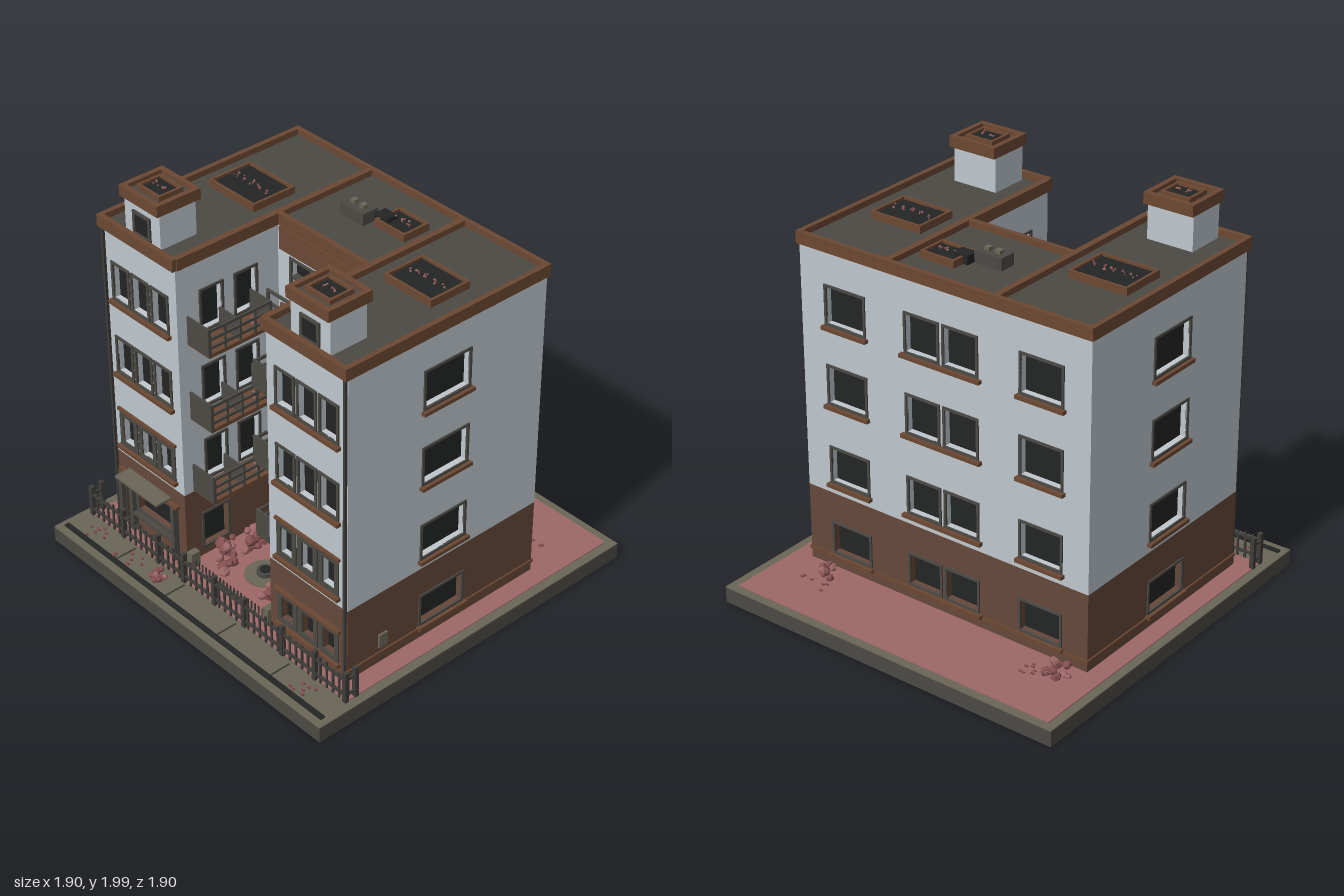
import * as THREE from 'three';

const mat = (name, color) => Object.assign(new THREE.MeshStandardMaterial({ color }), { name });
const M = {
  plaster: mat('pale plaster', 0xbec7ce), brown: mat('brown brick', 0x66483a),
  trim: mat('brown trim', 0x6b4832), grey: mat('dark grey', 0x4b4944),
  glass: mat('black glass', 0x232424), pink: mat('dusty pink ground', 0x9c6766),
  olive: mat('olive stone', 0x6b6656), iron: mat('iron', 0x3f3d39), leaf: mat('dark rose leaves', 0x84504f),
};

// Box given by its minimum and maximum on each axis
function box(g, name, m, x0, x1, y0, y1, z0, z1) {
  const mesh = new THREE.Mesh(new THREE.BoxGeometry(x1 - x0, y1 - y0, z1 - z0), m);
  mesh.position.set((x0 + x1) / 2, (y0 + y1) / 2, (z0 + z1) / 2);
  mesh.name = name;
  g.add(mesh);
  return mesh;
}
function group(parent, name) {
  const g = new THREE.Group();
  g.name = name;
  parent.add(g);
  return g;
}
let seed = 7;
const rnd = () => (seed = (seed * 16807) % 2147483647) / 2147483647;

// Rectangular ring of four bars in the wall plane
function ring(g, name, m, x0, x1, y0, y1, t, z0, z1) {
  box(g, name, m, x0, x0 + t, y0, y1, z0, z1);
  box(g, name, m, x1 - t, x1, y0, y1, z0, z1);
  box(g, name, m, x0 + t, x1 - t, y0, y0 + t, z0, z1);
  box(g, name, m, x0 + t, x1 - t, y1 - t, y1, z0, z1);
}
// Flat ring of four bars seen from above
function rim(g, name, m, x0, x1, y0, y1, z0, z1, t) {
  box(g, name, m, x0, x0 + t, y0, y1, z0, z1);
  box(g, name, m, x1 - t, x1, y0, y1, z0, z1);
  box(g, name, m, x0 + t, x1 - t, y0, y1, z0, z0 + t);
  box(g, name, m, x0 + t, x1 - t, y0, y1, z1 - t, z1);
}

// Wall with real openings: brown below, plaster above; local +z is outward
const BASE = 0.085, SPLIT = 0.485, TOP = 1.73;
function facade(parent, name, width, x, z, rot, windows, sills = []) {
  const g = group(parent, name);
  g.position.set(x, 0, z);
  g.rotation.y = rot;
  for (const [y0, y1, m] of [[BASE, SPLIT, M.brown], [SPLIT, TOP, M.plaster]]) {
    const rect = (C, a, b, c, d) => {
      const s = new C();
      s.moveTo(a, c); s.lineTo(b, c); s.lineTo(b, d); s.lineTo(a, d); s.closePath();
      return s;
    };
    const shape = rect(THREE.Shape, -width / 2, width / 2, y0, y1);
    for (const [a, b, c, d, t = 0.012] of windows)
      if (c >= y0 && d <= y1) shape.holes.push(rect(THREE.Path, a + t, b - t, c + t, d - t));
    const geo = new THREE.ExtrudeGeometry(shape, { depth: 0.04, bevelEnabled: false });
    const wall = new THREE.Mesh(geo.translate(0, 0, -0.04), m);
    wall.name = 'wall';
    g.add(wall);
  }
  for (const [a, b, c, d, t = 0.012, bars = []] of windows) {
    ring(g, 'windowFrame', M.grey, a, b, c, d, t, -0.004, 0.007);
    box(g, 'windowGlass', M.glass, a + t, b - t, c + t, d - t, -0.038, -0.03);
    for (const u of bars) box(g, 'mullion', M.grey, u - 0.006, u + 0.006, c, d, -0.03, 0.004);
    if (bars.length) box(g, 'transom', M.grey, a, b, (c + d) / 2 + 0.015, (c + d) / 2 + 0.027, -0.03, 0.003);
  }
  for (const [a, b, y] of sills) box(g, 'windowSill', M.trim, a, b, y - 0.018, y, -0.005, 0.024);
  return g;
}

// Spiky bush of small faceted clumps
function bush(parent, x, z, r, n, y = BASE) {
  const g = group(parent, 'bush');
  for (let i = 0; i < n; i++) {
    const a = rnd() * 6.28, d = rnd() * r;
    const m = new THREE.Mesh(new THREE.IcosahedronGeometry(r * (0.25 + 0.25 * rnd()), 0), i % 3 ? M.leaf : M.pink);
    m.position.set(x + Math.cos(a) * d, y + rnd() * r * 1.5, z + Math.sin(a) * d);
    m.rotation.set(rnd() * 3, rnd() * 3, 0);
    g.add(m);
  }
}

// Planter with a row of small flowers
function planter(parent, x0, x1, y0, y1, z0, z1, n, t = 0.014) {
  const g = group(parent, 'roofPlanter');
  rim(g, 'planterRim', M.trim, x0, x1, y0, y1, z0, z1, t);
  box(g, 'planterSoil', M.glass, x0 + t, x1 - t, y0, y1 - 0.012, z0 + t, z1 - t);
  for (let i = 0; i < n; i++)
    bush(g, x0 + (x1 - x0) * (i + 1) / (n + 1), (z0 + z1) / 2, 0.014, 4, y1 - 0.01);
}

export function createModel() {
  const root = new THREE.Group();
  root.name = 'apartmentBuilding';

  // Ground slab, garden and pavement
  const ground = group(root, 'ground');
  box(ground, 'slab', M.grey, -0.95, 0.95, 0, 0.078, -0.95, 0.95);
  box(ground, 'paving', M.olive, -0.95, 0.95, 0.078, 0.084, -0.95, 0.95);
  box(ground, 'garden', M.pink, -0.905, 0.905, 0.082, 0.088, -0.91, 0.75);
  box(ground, 'drain', M.glass, -0.92, 0.915, 0.08, 0.09, 0.885, 0.912);
  for (const x of [-0.555, -0.19, 0.18, 0.55]) box(ground, 'pavingJoint', M.iron, x - 0.004, x + 0.004, 0.08, 0.087, 0.77, 0.885);

  // Outer walls
  const rows = [[0.16, 0.335], [0.54, 0.735], [0.95, 1.155], [1.35, 1.555]];
  const house = group(root, 'house');
  for (const s of [-1, 1]) {
    const c = -0.01 * s;
    const side = facade(house, s > 0 ? 'rightSideWall' : 'leftSideWall', 1.16, 0.81 * s, 0.08, s * Math.PI / 2,
      rows.map(([a, b]) => [c - 0.14, c + 0.14, a, b]), rows.map(([a]) => [c - 0.15, c + 0.15, a]));
    box(side, 'plinthLedge', M.trim, -0.585, 0.585, 0.135, 0.15, -0.005, 0.008);
    if (s > 0) box(side, 'meterBox', M.olive, -0.395, -0.345, 0.175, 0.25, -0.005, 0.01);

    // Front of each wing with triple windows
    const wins = [], sills = [];
    rows.forEach(([a, b], i) => {
      if (i === 0 && s < 0) return;
      for (const k of [-1, 0, 1]) wins.push([k * 0.138 - 0.064, k * 0.138 + 0.064, a, b, i < 2 ? 0.026 : 0.013]);
      sills.push([-0.212, 0.212, a]);
    });
    if (s < 0) wins.push([-0.11, 0.2, 0.2, 0.385, 0.02], [-0.2, -0.125, 0.1, 0.385, 0.016]);
    const front = facade(house, s > 0 ? 'rightWingFront' : 'leftWingFront', 0.51, 0.555 * s, 0.66, 0, wins, sills);
    box(front, 'windowLintel', M.trim, -0.21, 0.21, 0.738, 0.752, -0.002, 0.014);
    box(front, 'groundLintel', M.trim, -0.215, 0.215, s < 0 ? 0.388 : 0.34, s < 0 ? 0.402 : 0.355, -0.002, 0.022);
    box(front, 'cornerPipe', M.iron, s * 0.245 - 0.006, s * 0.245 + 0.006, BASE, 1.72, 0, 0.014);
    if (s < 0) {
      box(front, 'shopCanopy', M.olive, -0.155, 0.155, 0.408, 0.42, 0, 0.09);
      for (const u of [-0.2, -0.12, 0.19]) box(front, 'shopPilaster', M.grey, u - 0.012, u + 0.012, BASE, 0.39, 0, 0.03);
      box(front, 'shopLedge', M.grey, -0.11, 0.2, 0.185, 0.2, 0, 0.03);
    }

    // Courtyard side of each wing, with balcony doors
    const doors = [[-0.2, -0.03, 0.13, 0.34]];
    for (const y of [0.52, 0.925, 1.33])
      for (const u of [-0.1, 0.1]) doors.push([u - 0.07, u + 0.07, y, y + 0.23]);
    facade(house, 'courtyardSideWall', 0.59, -0.3 * s * -1, 0.365, -s * Math.PI / 2,
      doors.map(([a, b, ...r]) => (s < 0 ? [a, b, ...r] : [-b, -a, ...r])));
  }
  const backWins = [], backSills = [];
  for (const [a, b] of rows) {
    for (const [u, w] of [[-0.55, 0.24], [-0.108, 0.2], [0.108, 0.2], [0.55, 0.24]]) backWins.push([u - w / 2, u + w / 2, a, b]);
    for (const [u, w] of [[-0.55, 0.26], [0, 0.45], [0.55, 0.26]]) backSills.push([u - w / 2, u + w / 2, a]);
  }
  const back = facade(house, 'backWall', 1.62, 0, -0.5, Math.PI, backWins, backSills);
  box(back, 'plinthLedge', M.trim, -0.815, 0.815, 0.135, 0.15, -0.005, 0.008);

  // Courtyard back wall with entrance and brown spandrels
  const levels = [0.515, 0.92, 1.325];
  const court = facade(house, 'courtyardBackWall', 0.6, 0, 0.07, 0, [
    ...levels.map((y) => [-0.22, 0.215, y + 0.005, y + 0.25, 0.014, [-0.075, 0.07]]),
    [-0.25, -0.135, 0.1, 0.325], [0.155, 0.255, 0.1, 0.325], [-0.04, 0.135, 0.09, 0.4, 0.026],
  ]);
  for (const y of levels) box(court, 'spandrel', M.trim, -0.28, 0.275, y + 0.268, y + 0.385, 0, 0.012);

  // Balconies on each storey
  for (const y of levels) {
    const b = group(root, 'balconies');
    box(b, 'centreSlab', M.trim, -0.235, 0.23, y - 0.02, y, 0.07, 0.2);
    for (const h of [0.05, 0.115]) box(b, 'centreRail', M.grey, -0.235, 0.23, y + h, y + h + 0.012, 0.188, 0.2);
    for (const x of [-0.23, -0.075, 0.07, 0.225]) box(b, 'centrePost', M.grey, x - 0.006, x + 0.006, y, y + 0.12, 0.188, 0.2);
    for (const x of [-0.075, 0.07]) box(b, 'divider', M.grey, x - 0.004, x + 0.004, y, y + 0.1, 0.07, 0.19);
    box(b, 'pot', M.pink, 0.085, 0.115, y, y + 0.04, 0.14, 0.17);
    for (const s of [-1, 1]) {
      const bx = (name, m, a, c, y0, y1, z0, z1) => box(b, name, m, Math.min(a * s, c * s), Math.max(a * s, c * s), y0, y1, z0, z1);
      bx('sideSlab', M.trim, 0.15, 0.298, y - 0.025, y - 0.005, 0.24, 0.605);
      bx('frontPanel', M.grey, 0.148, 0.295, y - 0.015, y + 0.13, 0.6, 0.61);
      bx('rearPanel', M.grey, 0.148, 0.295, y - 0.005, y + 0.12, 0.24, 0.248);
      bx('middlePanel', M.grey, 0.15, 0.295, y - 0.005, y + 0.1, 0.418, 0.427);
      for (const h of [0.02, 0.065, 0.11]) bx('sideRail', M.grey, 0.148, 0.158, y + h, y + h + 0.014, 0.245, 0.605);
      for (let i = 0; i < 5; i++) bx('sidePost', M.grey, 0.148, 0.158, y - 0.005, y + 0.12, 0.245 + i * 0.087, 0.255 + i * 0.087);
      bx('pot', M.pink, 0.2, 0.225, y - 0.005, y + 0.025, 0.28, 0.305);
    }
  }

  // Roof decks and parapets
  const roof = group(root, 'roof');
  box(roof, 'centreDeck', M.grey, -0.3, 0.3, 1.7, 1.745, -0.49, 0.06);
  box(roof, 'backParapet', M.trim, -0.82, 0.82, 1.715, 1.775, -0.512, -0.488);
  box(roof, 'courtParapet', M.trim, -0.3, 0.3, 1.715, 1.775, 0.055, 0.08);
  for (const s of [-1, 1]) {
    const c = 0.555 * s;
    box(roof, 'wingDeck', M.grey, c - 0.25, c + 0.25, 1.7, 1.745, -0.49, 0.65);
    box(roof, 'outerParapet', M.trim, 0.808 * s - 0.013, 0.808 * s + 0.013, 1.715, 1.775, -0.51, 0.68);
    box(roof, 'innerParapet', M.trim, 0.3 * s - 0.016, 0.3 * s + 0.016, 1.715, 1.774, -0.488, 0.66);
    box(roof, 'frontParapet', M.trim, c - 0.265, c + 0.265, 1.715, 1.775, 0.655, 0.682);

    // Stair tower with planted cap
    const t = group(roof, 'stairTower');
    const x = 0.55 * s;
    box(t, 'towerBody', M.plaster, x - 0.122, x + 0.122, 1.745, 1.925, 0.43, 0.632);
    ring(t, 'towerDoorFrame', M.grey, x - 0.06, x + 0.06, 1.755, 1.875, 0.014, 0.632, 0.642);
    box(t, 'towerDoor', M.glass, x - 0.046, x + 0.046, 1.76, 1.861, 0.63, 0.637);
    rim(t, 'towerCap', M.trim, x - 0.132, x + 0.132, 1.92, 1.975, 0.407, 0.652, 0.026);
    box(t, 'towerRoof', M.grey, x - 0.11, x + 0.11, 1.92, 1.955, 0.43, 0.63);
    planter(t, x - 0.078, x + 0.078, 1.95, 1.978, 0.46, 0.595, 2);
  }
  planter(roof, -0.71, -0.4, 1.745, 1.782, -0.12, 0.125, 5);
  planter(roof, 0.4, 0.69, 1.745, 1.782, -0.15, 0.08, 5);
  planter(roof, 0.045, 0.235, 1.745, 1.782, -0.35, -0.195, 3);
  box(roof, 'ventBox', M.grey, -0.135, 0.015, 1.745, 1.805, -0.245, -0.155);
  box(roof, 'ventDuct', M.glass, 0.02, 0.1, 1.745, 1.79, -0.285, -0.22);
  for (const x of [-0.09, -0.03]) box(roof, 'ventCap', M.olive, x - 0.014, x + 0.014, 1.8, 1.822, -0.215, -0.187);

  // Fountain and planted courtyard
  const yard = group(root, 'courtyard');
  const disc = (name, m, r, y0, y1) => {
    const d = new THREE.Mesh(new THREE.CylinderGeometry(r, r, y1 - y0, 24), m);
    d.position.set(0.005, (y0 + y1) / 2, 0.44);
    d.name = name;
    yard.add(d);
  };
  disc('fountainPaving', M.olive, 0.1, 0.08, 0.095);
  disc('fountainBasin', M.grey, 0.042, 0.09, 0.115);
  disc('fountainWater', M.glass, 0.028, 0.11, 0.118);
  box(yard, 'gardenStep', M.olive, 0.07, 0.15, 0.085, 0.1, 0.4, 0.445);
  for (const s of [-1, 1])
    for (let i = 0; i < 6; i++) bush(yard, s * (0.19 - 0.03 * (i % 2)), 0.2 + i * 0.07, 0.07, 8);
  for (let i = 0; i < 21; i++) box(yard, 'bollard', M.iron, -0.255 + i * 0.025, -0.249 + i * 0.025, 0.085, 0.13, 0.645, 0.651);
  box(yard, 'gateSill', M.iron, -0.1, 0.09, 0.085, 0.1, 0.644, 0.653);
  for (const s of [-1, 1]) box(yard, 'gatePier', M.olive, s * 0.27 - 0.018, s * 0.27 + 0.018, 0.085, 0.17, 0.62, 0.67);

  // Loose planting and leaves round the building
  bush(root, -0.72, -0.61, 0.055, 14);
  bush(root, 0.63, -0.6, 0.045, 10);
  bush(root, -0.3, 0.845, 0.045, 12);
  for (const [x, z] of [[-0.65, -0.65], [0.65, -0.68], [-0.8, 0.83], [-0.52, 0.83], [0.68, 0.83]])
    for (let i = 0; i < 7; i++) {
      const px = x + (rnd() - 0.5) * 0.18, pz = z + (rnd() - 0.5) * 0.1;
      box(root, 'fallenLeaf', M.leaf, px, px + 0.016, 0.084, 0.094, pz, pz + 0.01);
    }

  // Front fence
  const fence = group(root, 'fence');
  for (const y of [0.115, 0.2]) box(fence, 'fenceRail', M.iron, -0.9, 0.9, y, y + 0.012, 0.746, 0.758);
  for (let i = 0; i <= 44; i++) {
    const x = -0.9 + i * 1.8 / 44, h = 0.215 + 0.02 * rnd();
    box(fence, 'picket', M.iron, x - 0.005, x + 0.005, 0.085, h, 0.748, 0.756);
  }
  for (const x of [-0.9, -0.66, -0.4, -0.21, 0.01, 0.22, 0.48, 0.7, 0.9])
    box(fence, 'fencePost', M.iron, x - 0.011, x + 0.011, 0.085, 0.25, 0.74, 0.763);
  for (const x of [-0.9, 0.9]) {
    box(fence, 'returnPost', M.iron, x - 0.011, x + 0.011, 0.085, 0.25, 0.682, 0.704);
    for (const y of [0.115, 0.2]) box(fence, 'returnRail', M.iron, x - 0.005, x + 0.005, y, y + 0.012, 0.69, 0.75);
  }
  return root;
}
